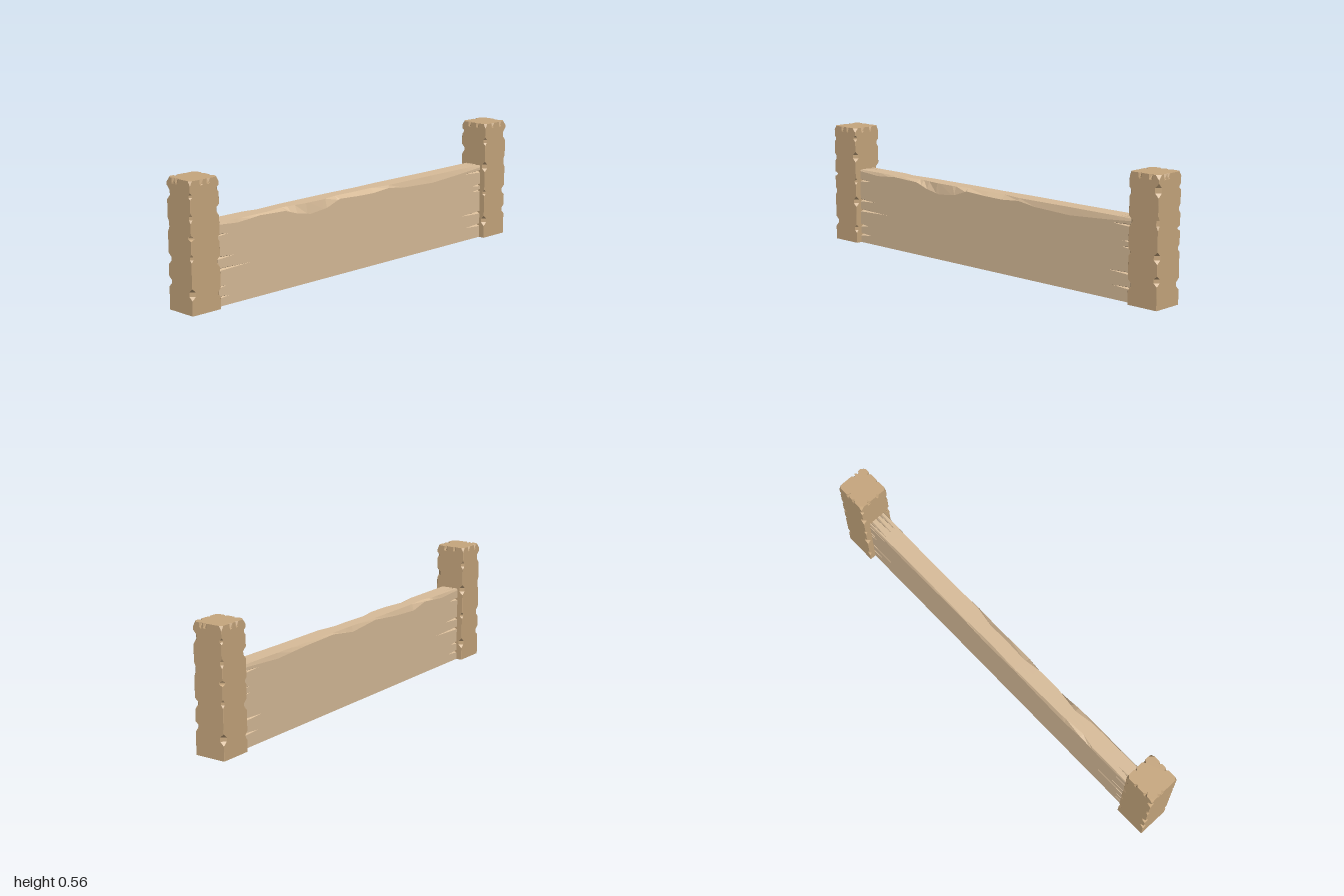
import * as THREE from 'three';

const POST_H = 0.565, HX = 0.074, HZ = 0.076;
const PLANK_H = 0.36, PX = 0.045, PLANK_END = 0.852;

// Piecewise-linear lookup in a table of [position, value]
function lookup(table, p) {
  if (p <= table[0][0]) return table[0][1];
  for (let i = 1; i < table.length; i++) {
    const [a, va] = table[i - 1], [b, vb] = table[i];
    if (p <= b) return va + (vb - va) * (p - a) / (b - a);
  }
  return table[table.length - 1][1];
}

const stations = list => [...new Set(list.map(v => +v.toFixed(4)))].sort((a, b) => a - b);

// Flat-shaded solid from counter-clockwise [u, v] sections stacked along z
function loft(levels, section) {
  const rings = levels.map(w => section(w).map(([u, v]) => new THREE.Vector3(u, v, w)));
  const pos = [], n = rings[0].length;
  const e1 = new THREE.Vector3(), e2 = new THREE.Vector3();
  const tri = (a, b, c) => {
    e1.subVectors(b, a).cross(e2.subVectors(c, a));
    if (e1.length() > 1e-9) for (const p of [a, b, c]) pos.push(p.x, p.y, p.z);
  };
  for (let i = 0; i < rings.length - 1; i++) {
    for (let j = 0; j < n; j++) {
      const k = (j + 1) % n, lo = rings[i], hi = rings[i + 1];
      tri(lo[j], lo[k], hi[k]);
      tri(lo[j], hi[k], hi[j]);
    }
  }
  const cap = (ring, flip) => {
    const flat = ring.map(p => new THREE.Vector2(p.x, p.y));
    for (const [a, b, c] of THREE.ShapeUtils.triangulateShape(flat, [])) {
      if (flip) tri(ring[a], ring[c], ring[b]);
      else tri(ring[a], ring[b], ring[c]);
    }
  };
  cap(rings[0], true);
  cap(rings[rings.length - 1], false);
  const geo = new THREE.BufferGeometry();
  geo.setAttribute('position', new THREE.Float32BufferAttribute(pos, 3));
  geo.computeVertexNormals();
  return geo;
}

// Chips on each vertical post edge: [bottom, top, depth]
const CHIPS = [
  [[0.05, 0.09, 0.012], [0.18, 0.23, 0.018], [0.29, 0.32, 0.01], [0.40, 0.45, 0.018], [0.50, 0.53, 0.012]],
  [[0.06, 0.11, 0.018], [0.21, 0.24, 0.012], [0.33, 0.38, 0.018], [0.46, 0.50, 0.012]],
  [[0.10, 0.145, 0.018], [0.195, 0.245, 0.019], [0.335, 0.395, 0.01], [0.47, 0.53, 0.019]],
  [[0.065, 0.115, 0.019], [0.225, 0.26, 0.01], [0.315, 0.338, 0.018], [0.39, 0.43, 0.01], [0.488, 0.515, 0.01]],
];
// Splinter notches along the top of each side: [fraction, depth]
const NOTCHES = [
  [[0.32, 0.014], [0.66, 0.01]],
  [[0.36, 0.01], [0.72, 0.016]],
  [[0.28, 0.012], [0.42, 0.012]],
  [[0.40, 0.016], [0.64, 0.01]],
];
const NOTCH_DROP = 0.024;

function postGeometry() {
  const edges = CHIPS.map((chips, k) => {
    const table = [[0, 0.001]];
    for (const [a, b, d] of chips) {
      const m = (b - a) * 0.32;
      table.push([a, 0.001], [a + m, d], [b - m, d], [b, 0.001]);
    }
    table.push([POST_H - 0.02, 0.001], [POST_H, k % 2 ? 0.012 : 0.018]);
    return table;
  });
  const levels = stations([...edges.flat().map(e => e[0]), POST_H - NOTCH_DROP]);
  const signs = [[1, 1], [-1, 1], [-1, -1], [1, -1]];
  const section = y => {
    const t = Math.max(0, (y - POST_H + NOTCH_DROP) / NOTCH_DROP);
    const ring = [];
    signs.forEach(([su, sv], k) => {
      const c = lookup(edges[k], y);
      const corner = [[su * HX, sv * (HZ - c)], [su * (HX - c), sv * HZ]];
      if (k % 2) corner.reverse();
      ring.push(...corner);
      const [nu, nv] = signs[(k + 1) % 4];
      const inU = -(su + nu) / 2, inV = -(sv + nv) / 2;
      for (const [f, d] of NOTCHES[k]) {
        for (const o of [-0.06, 0, 0.06]) {
          const g = f + o, push = o === 0 ? d * t : 0;
          ring.push([(su + (nu - su) * g) * HX + inU * push, (sv + (nv - sv) * g) * HZ + inV * push]);
        }
      }
    });
    return ring;
  };
  return loft(levels, section).rotateX(-Math.PI / 2);
}

// Splits at the plank ends: [position across face, end sign, length]
const FACE_SPLITS = [
  [0.04, 1, 0.08], [0.062, -1, 0.11], [0.085, 1, 0.06], [0.125, -1, 0.14], [0.16, 1, 0.2],
  [0.21, 1, 0.11], [0.235, -1, 0.06], [0.262, -1, 0.06], [0.308, 1, 0.08], [0.33, -1, 0.12],
];
const TOP_SPLITS = [[0.024, -1, 0.11], [0, -1, 0.11], [-0.018, 1, 0.09], [-0.032, -1, 0.11]];

// Worn top edges along z: how far the wear drops and how far it cuts in
const WEAR = {
  right: {
    drop: [[-0.85, 0.01], [-0.7, 0.022], [-0.5, 0.034], [-0.3, 0.026], [-0.2, 0.012], [-0.1, 0.02], [0, 0.018],
      [0.12, 0.012], [0.2, 0.04], [0.3, 0.05], [0.38, 0.035], [0.45, 0.012], [0.6, 0.006], [0.72, 0.016], [0.85, 0.006]],
    cut: [[-0.85, 0.004], [-0.5, 0.008], [-0.2, 0.006], [-0.1, 0.022], [0, 0.02], [0.12, 0.024], [0.22, 0.008],
      [0.32, 0.008], [0.45, 0.024], [0.55, 0.008], [0.85, 0.004]],
  },
  left: {
    drop: [[-0.85, 0.01], [-0.6, 0.024], [-0.4, 0.012], [-0.2, 0.006], [-0.05, 0.026], [0.13, 0.008], [0.3, 0.024],
      [0.45, 0.03], [0.55, 0.006], [0.7, 0.018], [0.85, 0.008]],
    cut: [[-0.85, 0.003], [-0.5, 0.006], [-0.2, 0.004], [-0.05, 0.008], [0.13, 0.004], [0.42, 0.008], [0.55, 0.018], [0.62, 0.004], [0.85, 0.003]],
  },
};

function plankGeometry() {
  const splits = [...FACE_SPLITS, ...TOP_SPLITS];
  const tables = [WEAR.right, WEAR.left].flatMap(w => [...w.drop, ...w.cut]);
  const levels = stations([-PLANK_END, PLANK_END,
    ...tables.map(e => e[0]).filter(z => Math.abs(z) < 0.84),
    ...splits.map(([, s, len]) => s * (PLANK_END - len))]);
  // Three points per split: lip, groove bottom, lip
  const groove = ([p, s, len], z, half, depth) => {
    const t = Math.max(0, 1 - (PLANK_END - s * z) / len);
    return [[p - half * t, 0], [p, depth * t], [p + half * t, 0]];
  };
  const face = (side, wear, z) => {
    const top = PLANK_H - lookup(wear.drop, z);
    const pts = [[side * PX, 0]];
    for (const split of FACE_SPLITS) {
      for (const [y, d] of groove(split, z, 0.007, 0.016)) pts.push([side * (PX - d), Math.min(y, top - 0.001)]);
    }
    pts.push([side * PX, top], [side * (PX - lookup(wear.cut, z)), PLANK_H]);
    return pts;
  };
  const section = z => {
    const right = face(1, WEAR.right, z), left = face(-1, WEAR.left, z);
    const xMax = right.at(-1)[0] - 0.001, xMin = left.at(-1)[0] + 0.001;
    const top = TOP_SPLITS.flatMap(split => groove(split, z, 0.006, 0.016).reverse()
      .map(([x, d]) => [THREE.MathUtils.clamp(x, xMin, xMax), PLANK_H - d]));
    return [...right, ...top, ...left.reverse()];
  };
  return loft(levels, section);
}

export function createModel() {
  const group = new THREE.Group();
  group.name = 'woodenFence';
  const postMat = new THREE.MeshStandardMaterial({ color: 0xc6a67d, flatShading: true });
  const plankMat = new THREE.MeshStandardMaterial({ color: 0xd8bc99, flatShading: true });

  // Posts at both ends, the back one turned around
  const postGeo = postGeometry();
  for (const side of [1, -1]) {
    const post = new THREE.Mesh(postGeo, postMat);
    post.name = side > 0 ? 'frontPost' : 'backPost';
    post.position.z = side * (1 - HZ);
    if (side < 0) post.rotation.y = Math.PI;
    group.add(post);
  }

  // Plank on edge between the posts
  const plank = new THREE.Mesh(plankGeometry(), plankMat);
  plank.name = 'plank';
  group.add(plank);
  return group;
}
